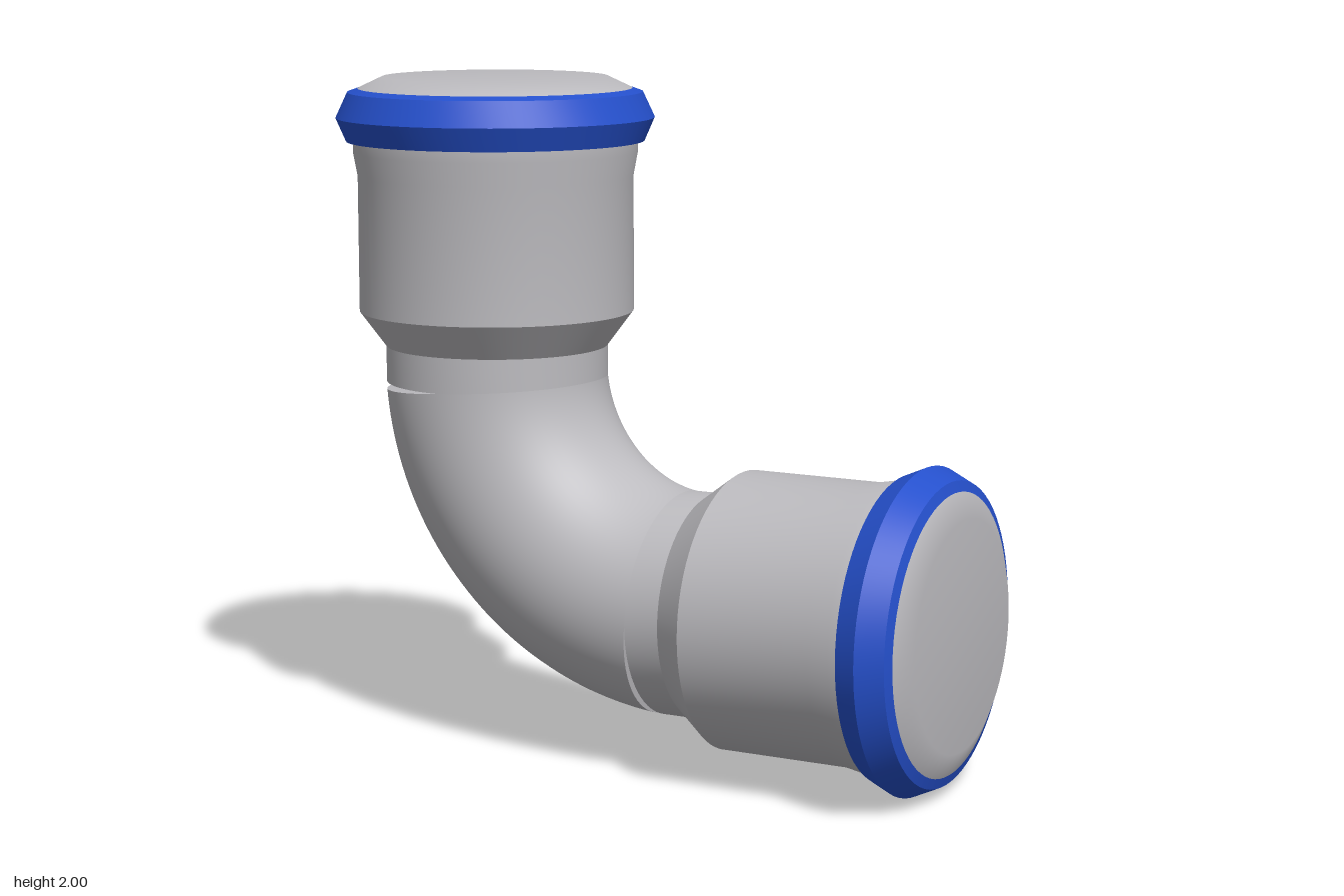
import * as THREE from 'three';
import { toCreasedNormals } from 'three/addons/utils/BufferGeometryUtils.js';

const steel = new THREE.MeshStandardMaterial({ color: 0xbcbbbf });
steel.name = 'brushed steel';
const blue = new THREE.MeshStandardMaterial({ color: 0x2550cc });
blue.name = 'blue seal';

const SEGMENTS = 72;
const PIPE_R = 0.332;
const ARM_START = 0.62; // distance from the crossing of the two axes

function addMesh(parent, name, geometry, material) {
  const mesh = new THREE.Mesh(geometry, material);
  mesh.name = name;
  parent.add(mesh);
}

// Turned part from [radius, distance along axis] pairs
function turned(points, crease) {
  const geo = new THREE.LatheGeometry(points.map(([r, d]) => new THREE.Vector2(r, d)), SEGMENTS);
  return crease ? toCreasedNormals(geo, crease) : geo;
}

// One socket arm, built along +y
function createArm(name) {
  const arm = new THREE.Group();
  arm.name = name;
  addMesh(arm, 'socketBody', turned([
    [0, ARM_START], [PIPE_R, ARM_START], [PIPE_R, 0.727], [0.41, 0.832],
    [0.41, 1.235], [0.423, 1.305], [0.423, 1.345],
  ], 0.4), steel);
  addMesh(arm, 'sealRing', turned([
    [0.415, 1.338], [0.443, 1.338], [0.473, 1.407], [0.438, 1.482], [0.407, 1.493],
  ], 0.4), blue);
  addMesh(arm, 'endCap', turned([
    [0.407, 1.493], [0.335, 1.527], [0, 1.527],
  ]), steel);
  return arm;
}

export function createModel() {
  const model = new THREE.Group();
  model.name = 'pipeElbow';

  // Two matching arms at right angles
  const upper = createArm('upperArm');
  const side = createArm('sideArm');
  side.rotation.z = -Math.PI / 2;
  model.add(upper, side);

  // Bend spans 80 degrees, so narrow wedge gaps remain on its outer side
  const tilt = THREE.MathUtils.degToRad(5);
  const sweep = Math.PI / 2 - 2 * tilt;
  const centre = ARM_START / (1 - Math.tan(tilt));
  const bendR = centre / Math.cos(tilt);
  const bend = new THREE.Group();
  bend.name = 'bend';
  bend.position.set(centre, centre, 0);
  bend.rotation.z = Math.PI + tilt;
  addMesh(bend, 'bendTube', new THREE.TorusGeometry(bendR, PIPE_R, SEGMENTS, 48, sweep), steel);

  // Flat faces closing both ends of the bend
  for (const [angle, turn] of [[0, 1], [sweep, -1]]) {
    const face = new THREE.CircleGeometry(PIPE_R, SEGMENTS);
    face.rotateX(turn * Math.PI / 2).translate(bendR, 0, 0).rotateZ(angle);
    addMesh(bend, 'bendEndFace', face, steel);
  }
  model.add(bend);

  model.position.set(-0.527, 0.473, 0);
  const root = new THREE.Group();
  root.name = 'pipeFitting';
  root.add(model);
  return root;
}
